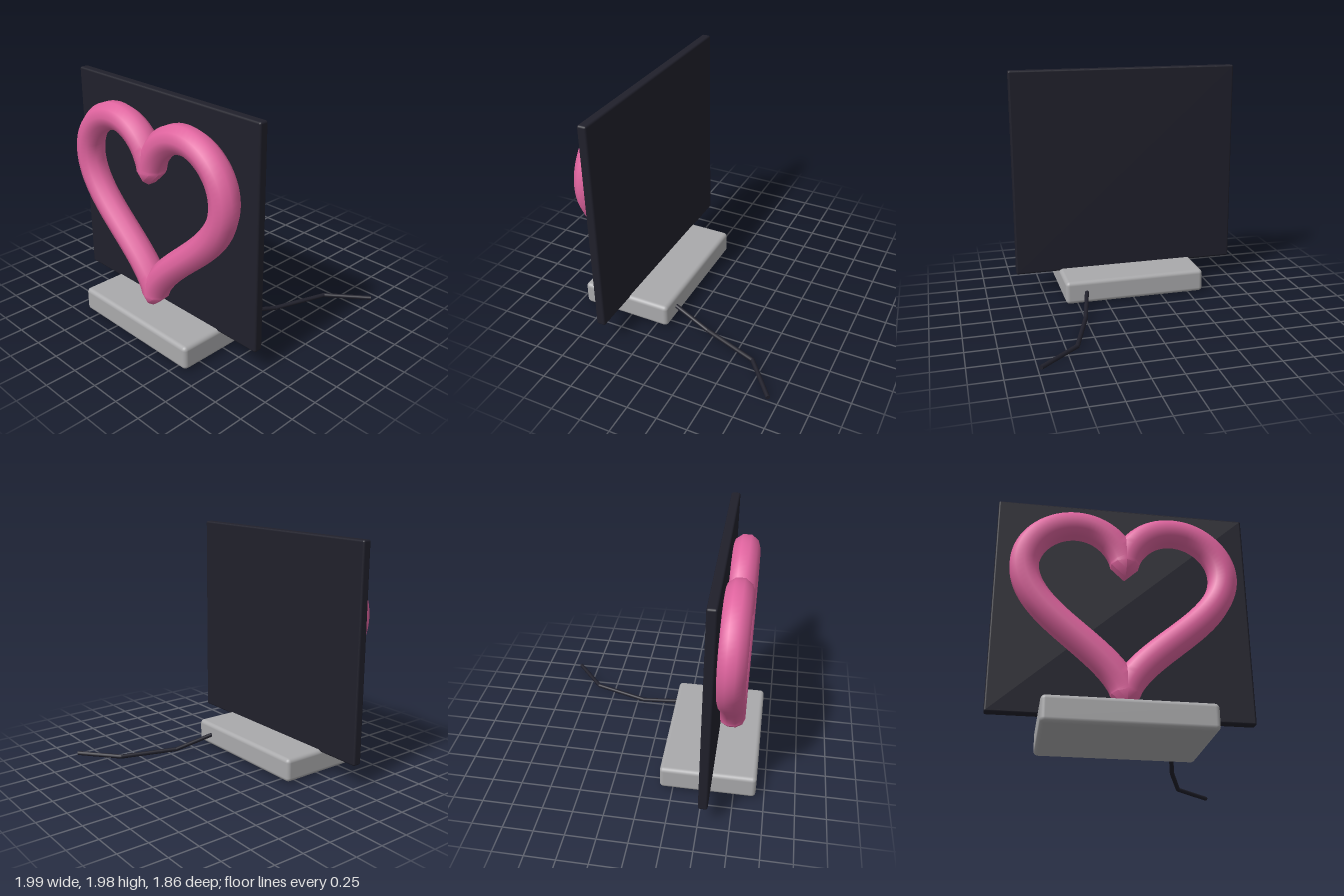
import * as THREE from 'three';
import { toCreasedNormals } from 'three/addons/utils/BufferGeometryUtils.js';
import { RoundedBoxGeometry } from 'three/addons/geometries/RoundedBoxGeometry.js';

const material = (name, color) => {
  const m = new THREE.MeshStandardMaterial({ color });
  m.name = name;
  return m;
};

// Point on the heart curve: x = 16 sin^3 t, y = 13 cos t - 5 cos 2t - 2 cos 3t - cos 4t
function heartPoint(t) {
  const s = 0.048;
  return new THREE.Vector2(
    s * 16 * Math.sin(t) ** 3,
    s * (13 * Math.cos(t) - 5 * Math.cos(2 * t) - 2 * Math.cos(3 * t) - Math.cos(4 * t))
  );
}

// Closed ten-sided tube; the rings at both cusps stand across x, which makes the pointed tips
function heartTube(radius, steps, sides) {
  const positions = [], index = [];
  for (let i = 0; i < steps; i++) {
    const t = (i / steps) * Math.PI * 2, dt = (Math.PI * 2) / steps;
    const p = heartPoint(t);
    const tangent = heartPoint(t + dt).sub(heartPoint(t - dt)).normalize();
    for (let j = 0; j < sides; j++) {
      const a = ((j + 0.5) / sides) * Math.PI * 2;
      const n = radius * Math.cos(a);
      positions.push(p.x - tangent.y * n, p.y + tangent.x * n, radius * Math.sin(a));
      const k = (j + 1) % sides, next = (i + 1) % steps;
      const A = i * sides + j, B = i * sides + k, C = next * sides + k, D = next * sides + j;
      index.push(A, C, B, A, D, C);
    }
  }
  // Turn the faces outward if the enclosed volume comes out negative
  const v = (i) => new THREE.Vector3().fromArray(positions, i * 3);
  let volume = 0;
  for (let i = 0; i < index.length; i += 3) {
    volume += v(index[i]).dot(v(index[i + 1]).cross(v(index[i + 2])));
  }
  if (volume < 0) index.reverse();
  const geo = new THREE.BufferGeometry();
  geo.setAttribute('position', new THREE.Float32BufferAttribute(positions, 3));
  geo.setIndex(index);
  return toCreasedNormals(geo, 0.7);
}

export function createModel() {
  const group = new THREE.Group();
  group.name = 'heartLamp';
  const black = material('charcoal', 0x20202b);
  const grey = material('grey', 0xa9a9ab);
  const pink = material('pink', 0xe0649f);

  const add = (name, geometry, mat, x, y, z, parent = group) => {
    const mesh = new THREE.Mesh(geometry, mat);
    mesh.name = name;
    mesh.position.set(x, y, z);
    parent.add(mesh);
    return mesh;
  };

  // Stand and back panel
  add('base', new RoundedBoxGeometry(1.23, 0.2, 0.79, 3, 0.035), grey, -0.008, 0.117, 0.535);
  add('backPanel', new RoundedBoxGeometry(1.985, 1.785, 0.076, 2, 0.016), black, -0.008, 1.09, 0.537);

  // Glowing heart
  add('heartTube', heartTube(0.114, 144, 10), pink, -0.008, 1.155, 0.675);

  // Power cable trailing behind the base
  const cable = new THREE.Group();
  cable.name = 'cable';
  group.add(cable);
  const radius = 0.018;
  const path = [
    [0.42, 0.125, 0.18], [0.508, 0.031, -0.19], [0.665, 0.026, -0.66], [0.978, 0.022, -0.918],
  ].map((p) => new THREE.Vector3(...p));
  for (let i = 0; i < path.length - 1; i++) {
    const dir = path[i + 1].clone().sub(path[i]);
    const mid = path[i].clone().addScaledVector(dir, 0.5);
    const part = add('cableSegment', new THREE.CylinderGeometry(radius, radius, dir.length(), 12),
      black, mid.x, mid.y, mid.z, cable);
    part.quaternion.setFromUnitVectors(new THREE.Vector3(0, 1, 0), dir.normalize());
    if (i > 0) {
      add('cableBend', new THREE.SphereGeometry(radius, 12, 8), black, path[i].x, path[i].y, path[i].z, cable);
    }
  }
  return group;
}
